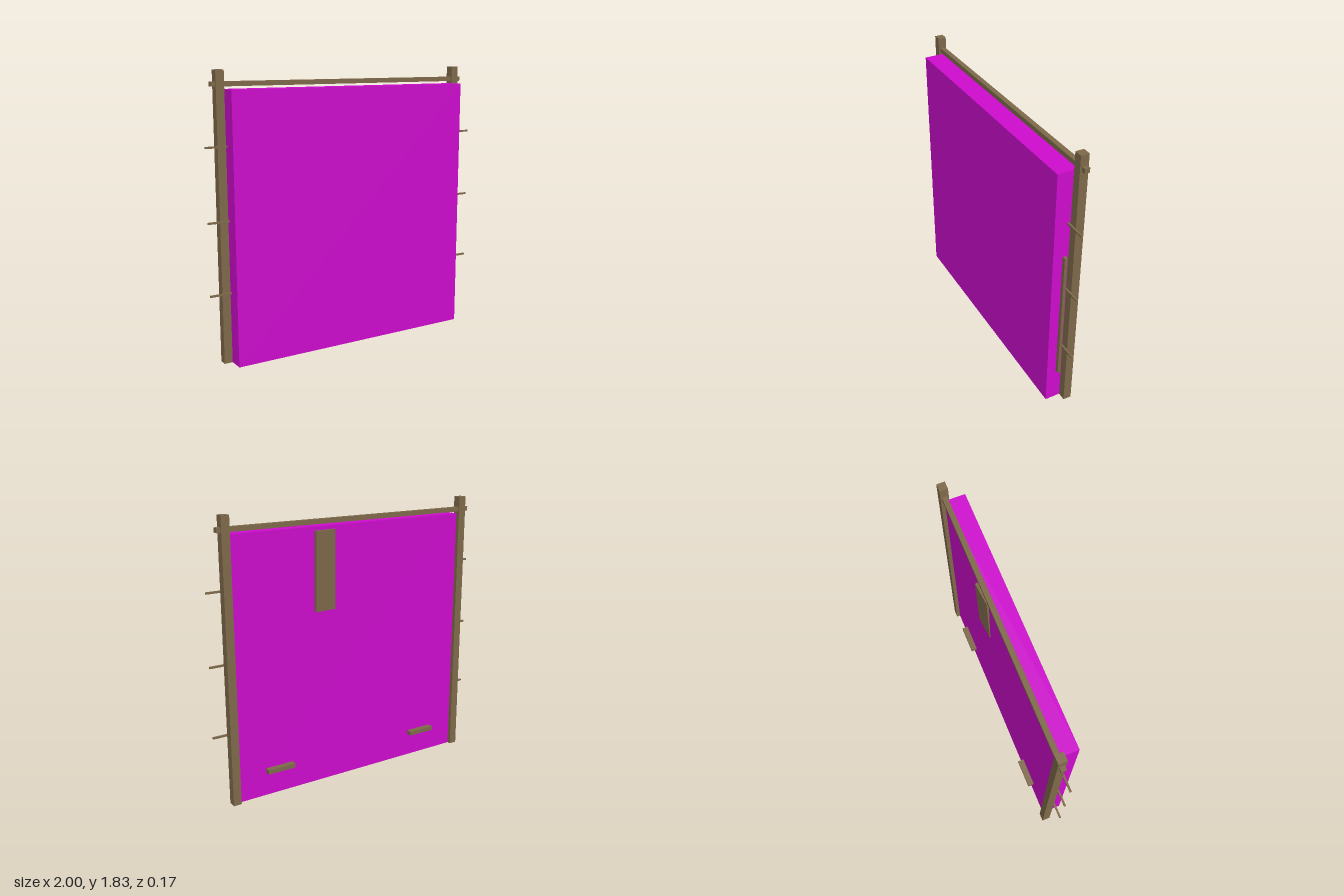
import * as THREE from 'three';

export function createModel() {
  const model = new THREE.Group();
  const magenta = new THREE.MeshStandardMaterial({ color: 0xd00cd0 });
  magenta.name = 'magenta panel';
  const wood = new THREE.MeshStandardMaterial({ color: 0x806b4b });
  wood.name = 'brown wood';

  // Box given by its minimum and maximum corners
  function box(name, material, [x0, y0, z0], [x1, y1, z1]) {
    const mesh = new THREE.Mesh(new THREE.BoxGeometry(x1 - x0, y1 - y0, z1 - z0), material);
    mesh.position.set((x0 + x1) / 2, (y0 + y1) / 2, (z0 + z1) / 2);
    mesh.name = name;
    model.add(mesh);
    return mesh;
  }

  // Main slab and the rail above it
  box('panel', magenta, [-0.858, 0, -0.045], [0.858, 1.715, 0.086]);
  box('topRail', wood, [-0.94, 1.73, -0.061], [0.94, 1.76, -0.028]);

  // Side posts and the small battens low on the back
  for (const [side, s] of [['left', 1], ['right', -1]]) {
    const post = box(side + 'Post', wood, [-0.027, 0, -0.07], [0.027, 1.83, -0.016]);
    post.position.x = s * 0.886;
    const batten = box(side + 'BackBatten', wood, [-0.098, 0.16, -0.086], [0.098, 0.188, -0.04]);
    batten.position.x = s * 0.57;
  }

  // Thin cross rods that stick out at both sides
  for (const y of [0.46, 0.917, 1.375]) {
    box('crossRod', wood, [-1, y - 0.006, -0.005], [1, y + 0.006, 0.007]);
  }

  // Upright strip on the left edge
  box('edgeStrip', wood, [0.855, 0.232, 0.002], [0.882, 1.145, 0.022]);

  // Slightly tilted board on the back
  const board = box('backBoard', wood, [0.138, 1.175, -0.062], [0.287, 1.69, -0.042]);
  board.rotation.set(-0.02, 0.09, 0);

  return model;
}
